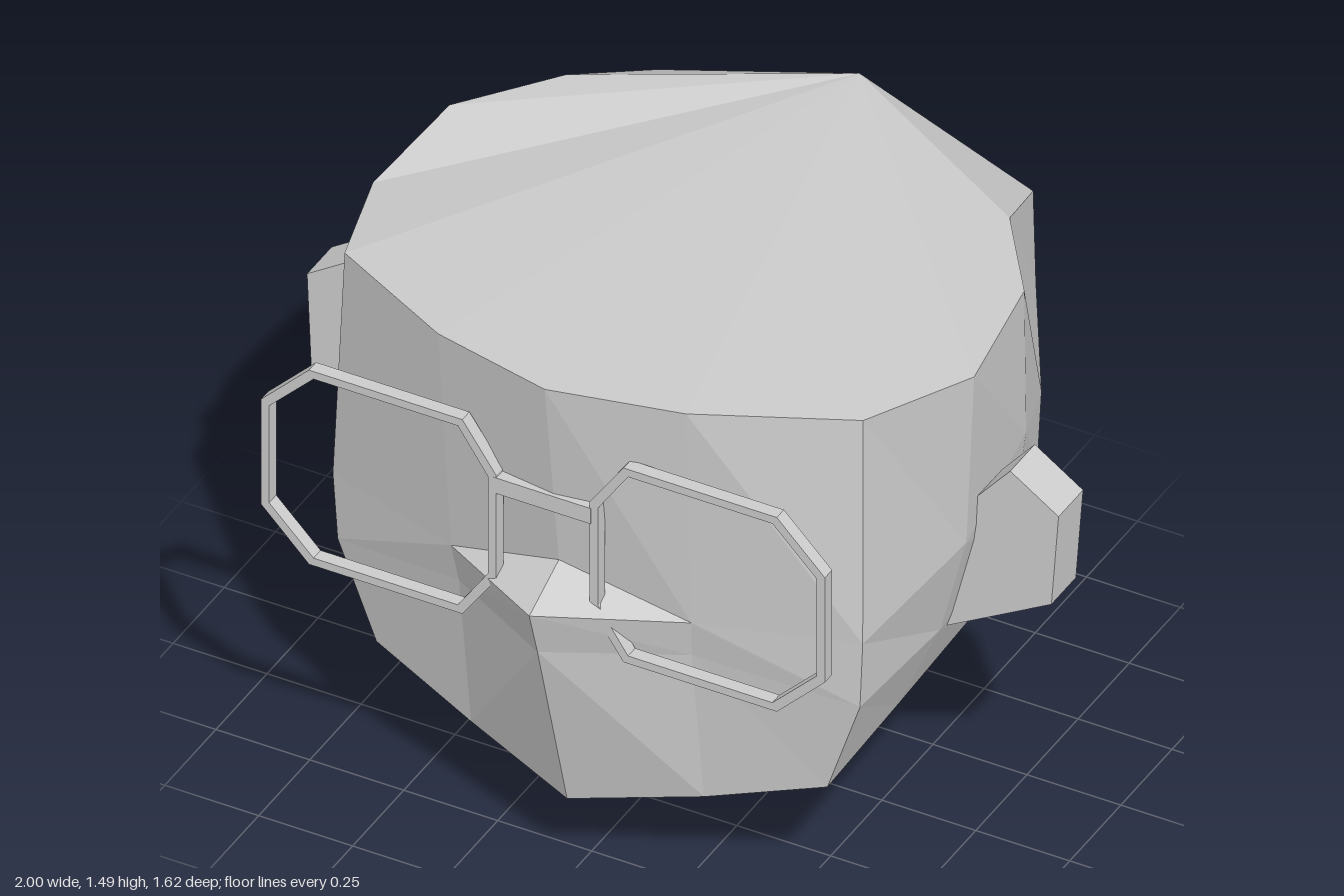
import * as THREE from 'three';

const skin = new THREE.MeshStandardMaterial({ color: 0xcccccc, flatShading: true, side: THREE.DoubleSide });
skin.name = 'plain grey';

function facetMesh(name, triangles) {
  const g = new THREE.BufferGeometry();
  g.setAttribute('position', new THREE.Float32BufferAttribute(triangles.flat(2), 3));
  g.computeVertexNormals();
  const m = new THREE.Mesh(g, skin);
  m.name = name;
  return m;
}

// Half-head rings, each running from the front centre round the side to the back centre
const crown = [[0, 1.49, 0.73], [0.33, 1.48, 0.645], [0.69, 1.455, 0.44], [0.8, 1.4, 0.1],
  [0.765, 1.437, -0.21], [0.59, 1.425, -0.46], [0.5, 1.29, -0.74], [0, 1.41, -0.81]];
const cheek = [[0, 0.95, 0.66], [0.32, 0.84, 0.6], [0.705, 0.83, 0.47], [0.785, 0.92, 0.11],
  [0.77, 1.03, -0.21], [0.68, 0.96, -0.45], [0.51, 1.03, -0.735], [0, 1.04, -0.78]];
const jaw = [[0, 0.75, 0.765], [0.31, 0.73, 0.58], [0.695, 0.64, 0.465], [0.72, 0.65, 0.12],
  [0.735, 0.74, -0.2], [0.68, 0.77, -0.43], [0.52, 0.91, -0.72], [0, 0.88, -0.765]];
const base = [[0, 0.23, 0.62], [0.31, 0.28, 0.52], [0.6, 0.365, 0.45], [0.625, 0.42, 0.15],
  [0.65, 0.48, -0.17], [0.64, 0.555, -0.4], [0.52, 0.63, -0.64], [0, 0.69, -0.74]];
const noseTip = [0, 0.88, 0.805];
const throat = [0, 0.445, -0.51];
const underJaw = [0.37, 0.37, -0.15];

function makeHead() {
  const half = [];
  const band = (top, low) => {
    for (let i = 0; i < 7; i++) {
      half.push([top[i], low[i], low[i + 1]], [top[i], low[i + 1], top[i + 1]]);
    }
  };
  band(crown, cheek);
  band([noseTip, ...cheek.slice(1)], jaw);
  band(jaw, base);
  half.push([cheek[0], noseTip, cheek[1]]); // top of the nose
  for (let i = 0; i < 7; i++) {
    if (i < 6) half.push([crown[7], crown[i], crown[i + 1]]); // flat top
    half.push([i < 5 ? underJaw : throat, base[i + 1], base[i]]); // underside
  }
  half.push([throat, base[5], underJaw], [throat, underJaw, base[0]]);
  const flip = ([x, y, z]) => [-x, y, z];
  const other = half.map(([a, b, c]) => [flip(a), flip(c), flip(b)]);
  return facetMesh('head', [...half, ...other]);
}

function extrude(name, shape, depth, z) {
  const g = new THREE.ExtrudeGeometry(shape, { depth, bevelEnabled: false });
  g.translate(0, 0, z);
  const m = new THREE.Mesh(g, skin);
  m.name = name;
  return m;
}

const outline = (pts) => new THREE.Shape(pts.map(([x, y]) => new THREE.Vector2(x, y)));

// Wedge-shaped ear, leaning slightly backwards towards its top
function makeEar(side) {
  const pts = [[0.71, 0.625], [0.985, 0.78], [1, 1.035], [0.87, 1.12], [0.785, 1.02]];
  const ear = extrude(side > 0 ? 'leftEar' : 'rightEar',
    outline(pts.map(([x, y]) => [x * side, y])), 0.12, -0.06);
  const p = ear.geometry.attributes.position;
  for (let i = 0; i < p.count; i++) p.setZ(i, p.getZ(i) - (p.getY(i) - 0.85) * 0.03);
  ear.geometry.computeVertexNormals();
  return ear;
}

// Eight-sided spectacle rim, cut wider at its outer corners
function makeRim(name, side, cx, cy) {
  const ring = (w, h, inner, outer, cut) => [[-w, -h + cut], [-w + inner, -h], [w - outer, -h], [w, -h + cut],
    [w, h - cut], [w - outer, h], [-w + inner, h], [-w, h - cut]].map(([x, y]) => [x * side + cx, y + cy]);
  const shape = outline(ring(0.313, 0.282, 0.09, 0.128, 0.13));
  shape.holes.push(outline(ring(0.291, 0.26, 0.08, 0.118, 0.119)));
  return extrude(name, shape, 0.035, 0.662);
}

// Open neck tube with four walls, a little narrower at the foot
function makeNeck() {
  const corners = [[-1, 0.038], [1, 0.038], [1, -0.348], [-1, -0.348]];
  const walls = corners.flatMap((c, i) => {
    const d = corners[(i + 1) % 4];
    const foot = ([x, z]) => [x * 0.123, 0, z];
    const top = ([x, z]) => [x * 0.145, 0.36, z];
    return [[foot(c), foot(d), top(d)], [foot(c), top(d), top(c)]];
  });
  return facetMesh('neck', walls);
}

export function createModel() {
  const model = new THREE.Group();
  model.name = 'blockyHead';
  model.add(makeHead(), makeEar(1), makeEar(-1), makeNeck());

  // Spectacles
  const glasses = new THREE.Group();
  glasses.name = 'glasses';
  const bridge = new THREE.Mesh(new THREE.BoxGeometry(0.26, 0.045, 0.035), skin);
  bridge.name = 'bridge';
  bridge.position.set(-0.025, 1.137, 0.68);
  glasses.add(makeRim('rightRim', -1, -0.46, 1.015), makeRim('leftRim', 1, 0.415, 1.026), bridge);
  model.add(glasses);
  return model;
}
